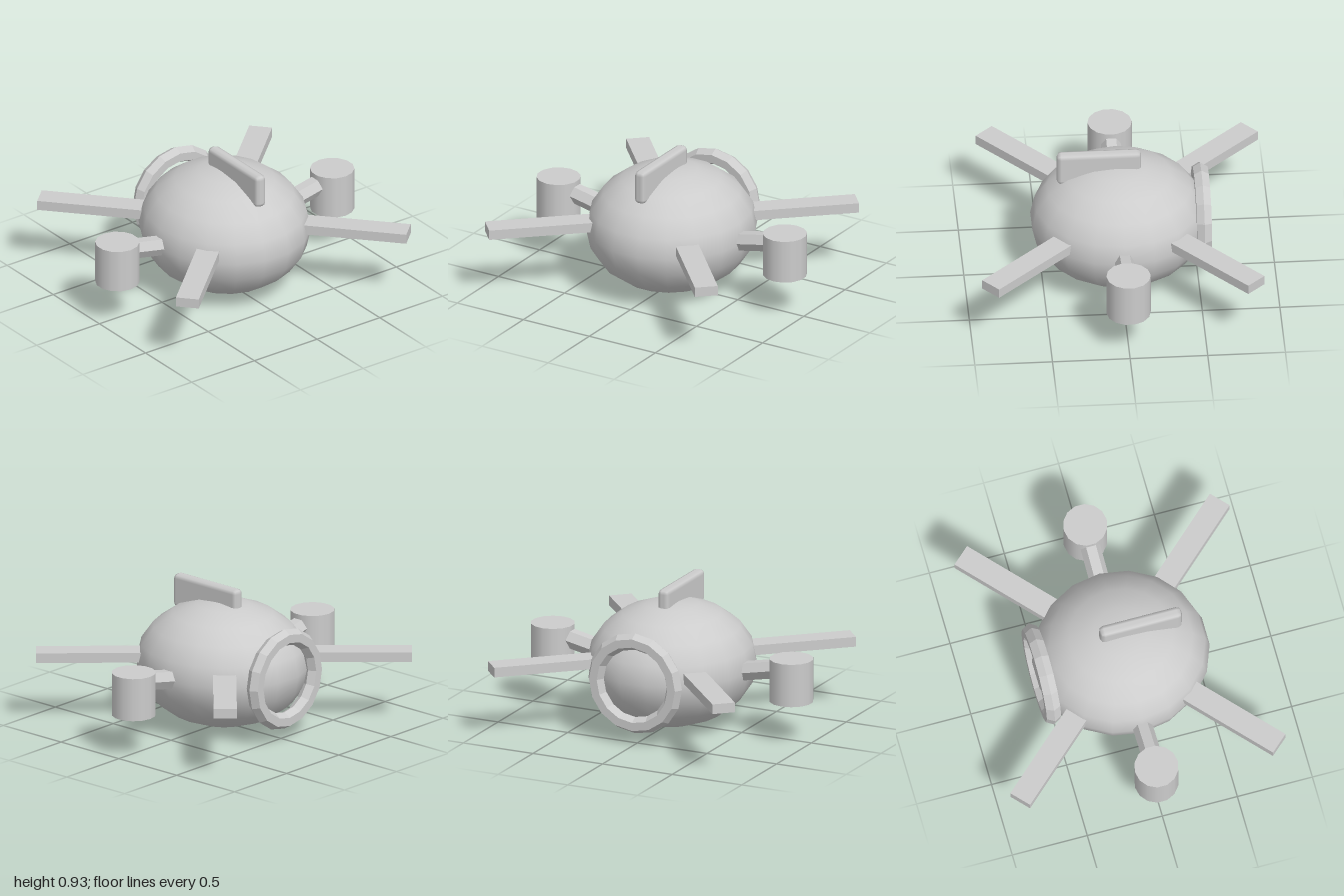
import * as THREE from 'three';
import { RoundedBoxGeometry } from 'three/addons/geometries/RoundedBoxGeometry.js';

export function createModel() {
  const model = new THREE.Group();
  model.name = 'drone';

  const smooth = new THREE.MeshStandardMaterial({ color: 0xcccccc });
  smooth.name = 'lightGrey';
  const faceted = smooth.clone();
  faceted.name = 'lightGreyFaceted';
  faceted.flatShading = true;

  const midY = 0.415;

  function add(name, geometry, material, x = 0, y = 0, z = 0) {
    const mesh = new THREE.Mesh(geometry, material);
    mesh.name = name;
    mesh.position.set(x, y, z);
    model.add(mesh);
    return mesh;
  }

  // Egg-like hull
  const hull = add('hull', new THREE.SphereGeometry(1, 18, 10), smooth, 0, midY, 0);
  hull.scale.set(0.543, 0.41, 0.575);

  // Two flat beams crossing through the hull make the four arms
  for (const [name, angle] of [['armBeamA', 42.4], ['armBeamB', 132.5]]) {
    const beam = add(name, new THREE.BoxGeometry(2.416, 0.065, 0.15), faceted, -0.002, 0.466, -0.006);
    beam.rotation.y = THREE.MathUtils.degToRad(angle);
  }

  // Side pods on short, slightly rising six-sided struts
  for (const [side, s] of [['left', 1], ['right', -1]]) {
    add(side + 'Pod', new THREE.CylinderGeometry(0.143, 0.143, 0.285, 14), smooth, s * 0.857, 0.4125, 0);

    const from = new THREE.Vector3(s * 0.51, 0.422, 0);
    const to = new THREE.Vector3(s * 0.76, 0.473, 0);
    const strut = add(side + 'Strut', new THREE.CylinderGeometry(0.065, 0.065, from.distanceTo(to), 6), faceted);
    strut.position.addVectors(from, to).multiplyScalar(0.5);
    strut.quaternion.setFromUnitVectors(new THREE.Vector3(0, 1, 0), to.clone().sub(from).normalize());
  }

  // Rear ring with a hexagonal section
  add('rearRing', new THREE.TorusGeometry(0.281, 0.055, 6, 16), faceted, 0, midY, -0.53);

  // Chamfered fin on top
  add('topFin', new RoundedBoxGeometry(0.08, 0.225, 0.545, 1, 0.03), smooth, 0, 0.8175, 0.131);

  return model;
}
